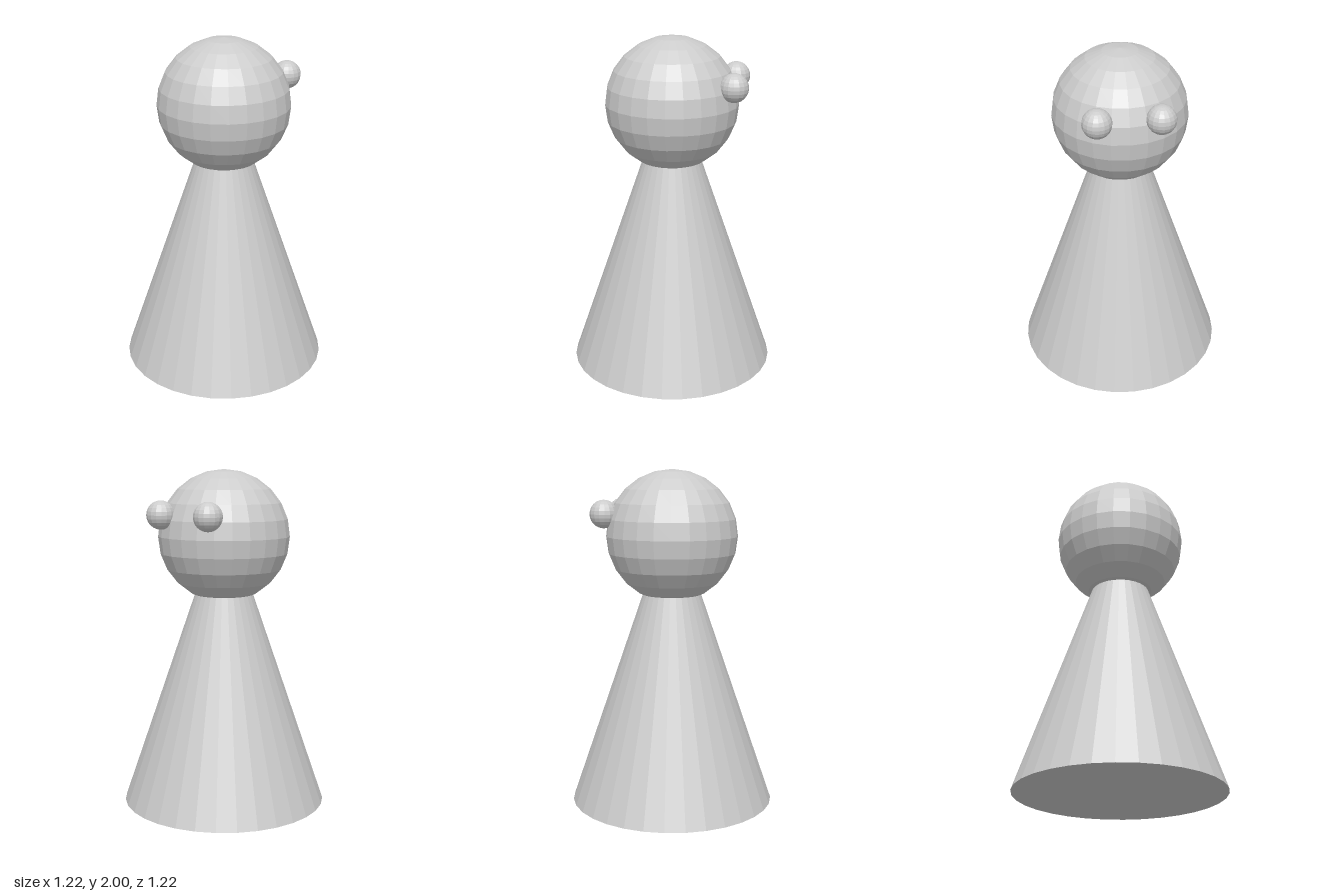
import * as THREE from 'three';

const material = new THREE.MeshStandardMaterial({ color: 0xcccccc, flatShading: true });

function addPart(group, name, geometry, x, y, z) {
  const mesh = new THREE.Mesh(geometry, material);
  mesh.name = name;
  mesh.position.set(x, y, z);
  group.add(mesh);
}

export function createModel() {
  const group = new THREE.Group();
  group.name = 'pawnFigure';

  // Conical body, its tip hidden inside the head
  const bodyHeight = 1.77;
  addPart(group, 'body', new THREE.ConeGeometry(0.61, bodyHeight, 32), 0, bodyHeight / 2, 0);

  // Round head
  addPart(group, 'head', new THREE.SphereGeometry(0.39, 24, 12), 0, 1.61, 0);

  // Pair of eyes on the -z side of the head
  for (const side of [1, -1]) {
    addPart(group, side > 0 ? 'leftEye' : 'rightEye',
      new THREE.SphereGeometry(0.083, 16, 12), side * 0.173, 1.742, -0.364);
  }

  return group;
}
